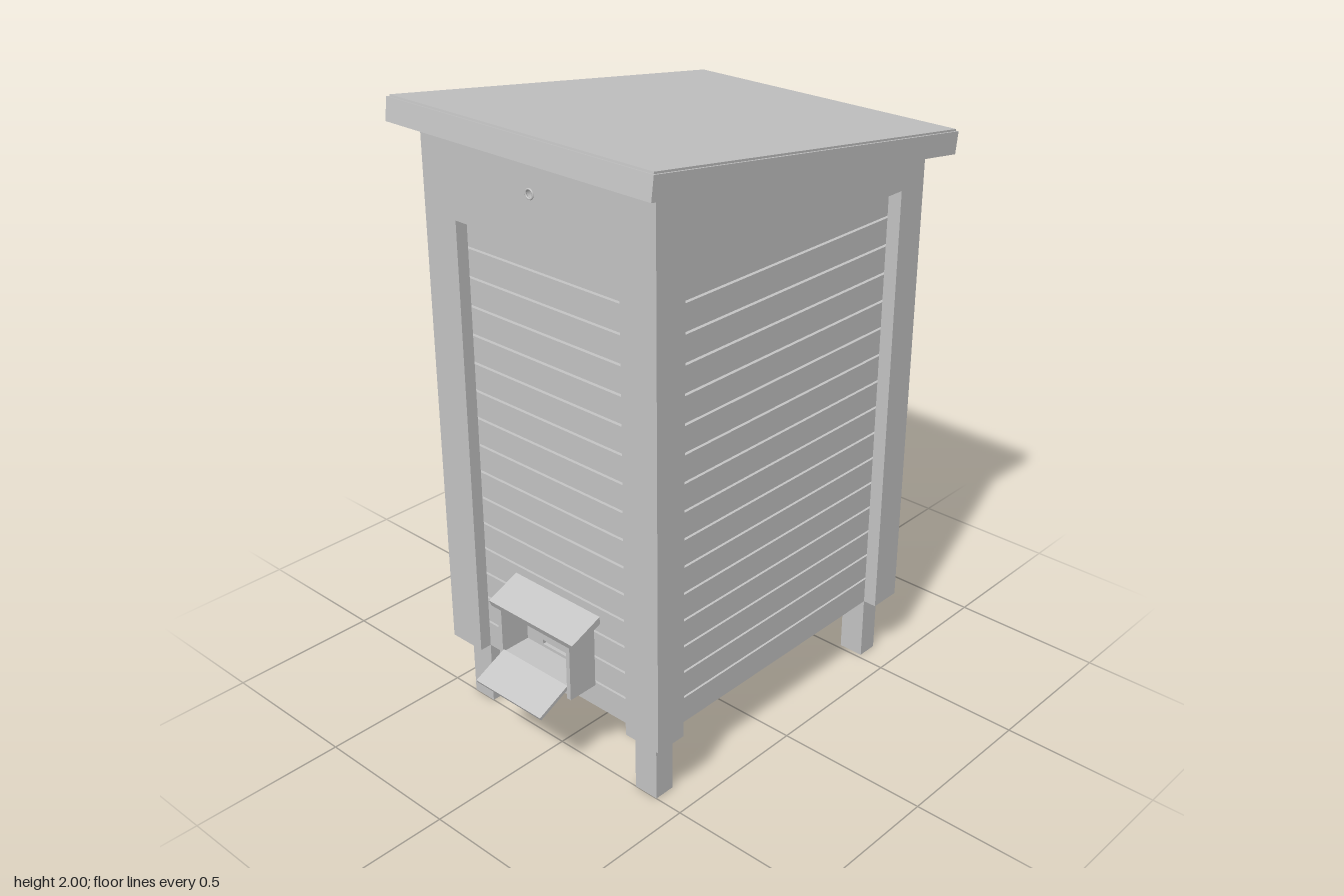
import * as THREE from 'three';

export function createModel() {
  const hive = new THREE.Group();
  hive.name = 'beehive';
  const wood = new THREE.MeshStandardMaterial({ color: 0xc4c4c4 });
  wood.name = 'plain grey wood';

  // Main dimensions
  const floorY = 0.215, panelTop = 1.66;
  const halfW = 0.45, innerW = 0.405;
  const front = 0.54, innerFront = 0.5, back = -0.625, innerBack = -0.585;
  const panelX = 0.32, panelFront = 0.43, panelBack = -0.515;
  const pitch = THREE.MathUtils.degToRad(8);
  const roofUnder = z => 1.926 - (0.615 - z) * Math.tan(pitch);

  function add(geometry, name, parent = hive) {
    const mesh = new THREE.Mesh(geometry, wood);
    mesh.name = name;
    parent.add(mesh);
    return mesh;
  }
  // Box given by its limits on each axis
  function block(name, x0, x1, y0, y1, z0, z1, parent) {
    const g = new THREE.BoxGeometry(x1 - x0, y1 - y0, z1 - z0);
    g.translate((x0 + x1) / 2, (y0 + y1) / 2, (z0 + z1) / 2);
    return add(g, name, parent);
  }
  const shapeOf = pts => new THREE.Shape(pts.map(p => new THREE.Vector2(...p)));
  const extrude = (shape, depth) =>
    new THREE.ExtrudeGeometry(shape, { depth, bevelEnabled: false, curveSegments: 16 });
  // Outline in (z, y), extruded from x0 to x1
  const sideExtrude = (pts, x0, x1) =>
    extrude(shapeOf(pts), x1 - x0).rotateY(-Math.PI / 2).translate(x1, 0, 0);

  // Inner body that shows in the grooves between boards
  const groove = 0.012;
  const cz0 = innerBack + groove, cz1 = innerFront - groove, cx = innerW - groove;
  add(sideExtrude([[cz0, floorY], [cz1, floorY], [cz1, roofUnder(cz1)], [cz0, roofUnder(cz0)]], -cx, cx), 'innerBody');

  // Horizontal boards on all four sides
  const boards = new THREE.Group();
  boards.name = 'wallBoards';
  hive.add(boards);
  const rows = 16, step = (panelTop - floorY) / rows, gap = 0.008;
  for (let i = 0; i < rows; i++) {
    const y0 = floorY + i * step + (i ? gap / 2 : 0);
    const y1 = floorY + (i + 1) * step - (i < rows - 1 ? gap / 2 : 0);
    block('backBoard', -innerW, innerW, y0, y1, innerBack, cz0, boards);
    for (const s of [-1, 1]) {
      const a = s * cx, b = s * innerW;
      block('sideBoard', Math.min(a, b), Math.max(a, b), y0, y1, cz0, cz1, boards);
    }
    if (i === 1) {
      // Board with the entrance slot
      const shape = shapeOf([[-innerW, y0], [innerW, y0], [innerW, y1], [-innerW, y1]]);
      shape.holes.push(new THREE.Path([[-0.07, 0.335], [-0.07, 0.35], [0.07, 0.35], [0.07, 0.335]]
        .map(p => new THREE.Vector2(...p))));
      add(extrude(shape, groove).translate(0, 0, cz1), 'entranceBoard', boards);
    } else {
      block('frontBoard', -innerW, innerW, y0, y1, cz1, innerFront, boards);
    }
  }

  // Outer frames, open at the bottom
  const endFrame = top => shapeOf([
    [-halfW, floorY], [-panelX, floorY], [-panelX, panelTop], [panelX, panelTop],
    [panelX, floorY], [halfW, floorY], [halfW, top], [-halfW, top]]);
  const frontShape = endFrame(roofUnder(front));
  const vent = new THREE.Path();
  vent.absarc(-0.01, 1.81, 0.016, 0, Math.PI * 2, true);
  frontShape.holes.push(vent);
  add(extrude(frontShape, front - innerFront).translate(0, 0, innerFront), 'frontFrame');
  add(extrude(endFrame(roofUnder(back)), innerBack - back).translate(0, 0, back), 'backFrame');
  const sidePts = [
    [innerBack, floorY], [panelBack, floorY], [panelBack, panelTop], [panelFront, panelTop],
    [panelFront, floorY], [innerFront, floorY], [innerFront, roofUnder(innerFront)], [innerBack, roofUnder(innerBack)]];
  add(sideExtrude(sidePts, innerW, halfW), 'leftFrame');
  add(sideExtrude(sidePts, -halfW, -innerW), 'rightFrame');

  // Rim of the vent hole
  add(new THREE.TorusGeometry(0.014, 0.003, 8, 20).translate(-0.01, 1.81, front), 'ventRim');

  // Legs
  for (const s of [-1, 1]) {
    const x0 = s > 0 ? panelX : -innerW, x1 = s > 0 ? innerW : -panelX;
    block('frontLeg', x0, x1, 0, floorY, panelFront, innerFront);
    block('backLeg', x0, x1, 0, floorY, innerBack, panelBack);
  }

  // Sloping roof slab with slightly eased top edges
  const roofL = 1.328, roofT = 0.075, ease = 0.006;
  const roof = new THREE.Group();
  roof.name = 'roof';
  block('roofSlab', -0.505, 0.505, -roofT, -ease, -roofL, 0, roof);
  block('roofSheet', -0.505 + ease, 0.505 - ease, -ease, 0, -roofL + ease, -ease, roof);
  roof.position.set(0, 2, 0.605);
  roof.rotation.x = -pitch;
  // Nose-down at the back: local -z falls away from the front edge
  hive.add(roof);

  // Entrance porch: cheeks, floor, small roof and landing board
  const porch = new THREE.Group();
  porch.name = 'entrancePorch';
  hive.add(porch);
  for (const s of [-1, 1]) {
    add(sideExtrude([[innerFront, 0.29], [0.603, 0.29], [0.603, 0.485], [innerFront, 0.525]], -0.0075, 0.0075), 'porchCheek', porch)
      .position.x = s * 0.1475;
  }
  block('porchFloor', -0.14, 0.14, 0.305, 0.325, innerFront, 0.603, porch);
  add(sideExtrude([[innerFront, 0.52], [0.605, 0.476], [0.615, 0.499], [innerFront, 0.545]], -0.18, 0.18), 'porchRoof', porch);
  add(sideExtrude([[0.595, 0.322], [0.71, 0.268], [0.715, 0.278], [0.6, 0.333]], -0.14, 0.14), 'landingBoard', porch);

  return hive;
}
